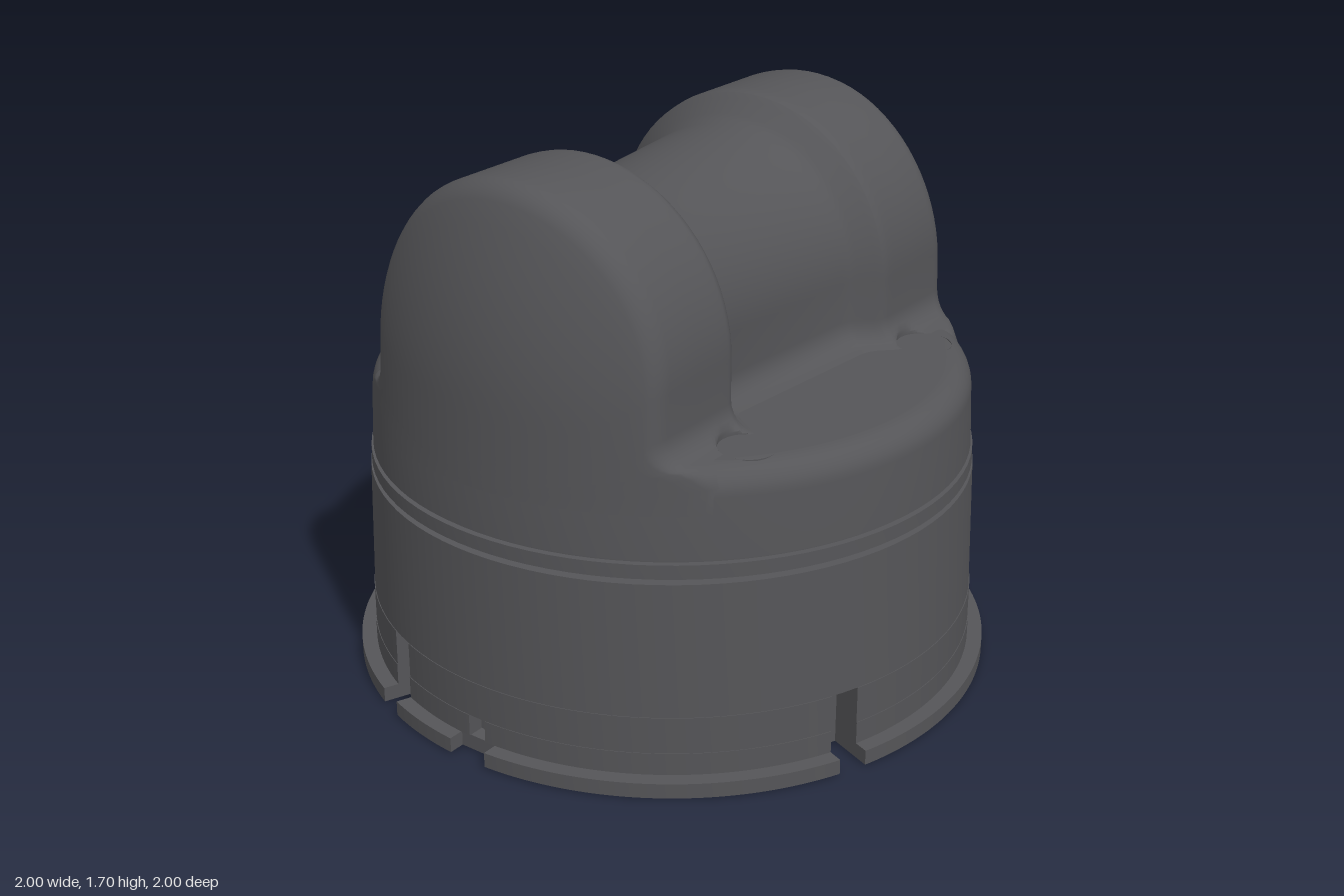
import * as THREE from 'three';
import { toCreasedNormals } from 'three/addons/utils/BufferGeometryUtils.js';

const material = new THREE.MeshStandardMaterial({ color: 0x555558, side: THREE.DoubleSide });
const rad = THREE.MathUtils.degToRad;
const SLOTS = [68, 158, 248, 338];
const SCREW = { x: 0.48, z: 0.615, r: 0.085 };
const SHELF = 0.98;

function add(group, name, geometry, crease = 0.6) {
  const mesh = new THREE.Mesh(toCreasedNormals(geometry, crease), material);
  mesh.name = name;
  group.add(mesh);
  return mesh;
}

// Outer radius of the domed cap at height y
const capRadius = y => 0.93 - 0.045 * (y - 0.72) - 0.33 * Math.max(0, y - 1.1) ** 2;

const lathe = points => new THREE.LatheGeometry(points.map(p => new THREE.Vector2(...p)), 96);

// Disc outline cut by straight notches { angle, half width, floor radius }
function notchedDisc(r, notches) {
  const shape = new THREE.Shape();
  const sorted = [...notches].sort((a, b) => a.angle - b.angle);
  sorted.forEach((n, i) => {
    const a = rad(n.angle);
    const next = sorted[(i + 1) % sorted.length];
    const end = rad(next.angle + (i + 1 === sorted.length ? 360 : 0));
    const at = (d, w) => [d * Math.cos(a) - w * Math.sin(a), d * Math.sin(a) + w * Math.cos(a)];
    const edge = Math.sqrt(r * r - n.half * n.half);
    if (i === 0) shape.moveTo(...at(edge, -n.half));
    else shape.lineTo(...at(edge, -n.half));
    shape.lineTo(...at(n.floor, -n.half));
    shape.lineTo(...at(n.floor, n.half));
    shape.lineTo(...at(edge, n.half));
    shape.absarc(0, 0, r, a + Math.asin(n.half / r), end - Math.asin(next.half / r), false);
  });
  return shape;
}

// Flat layer of a shape standing between two heights
function slab(shape, y0, y1) {
  return new THREE.ExtrudeGeometry(shape, { depth: y1 - y0, bevelEnabled: false, curveSegments: 32 })
    .rotateX(-Math.PI / 2).translate(0, y0, 0);
}

function disc(r, y0, y1, x, z) {
  return new THREE.CylinderGeometry(r, r, y1 - y0, 24).translate(x, (y0 + y1) / 2, z);
}

// Saddle-shaped housing: arched sections along x, ends trimmed to the domed cap
function housingGeometry() {
  const waist = [[-0.43, 0.51], [-0.41, 0.508], [-0.39, 0.495], [-0.335, 0.41], [-0.32, 0.392], [-0.3, 0.383],
    [0.29, 0.427], [0.32, 0.437], [0.34, 0.45], [0.38, 0.49], [0.4, 0.505], [0.43, 0.51]];
  const radiusAt = x => {
    if (Math.abs(x) >= 0.43) return 0.51;
    const i = waist.findIndex(w => w[0] > x);
    const [a, b] = [waist[i - 1], waist[i]];
    return THREE.MathUtils.mapLinear(x, a[0], b[0], a[1], b[1]);
  };
  // Half section from the buried foot, up the fillet and side, over the arch
  const half = r => {
    const pts = [[r + 0.15, 0.85], [r + 0.15, 0.93], [r + 0.11, 0.965]];
    for (let i = 0; i <= 6; i++) {
      const t = i / 6 * Math.PI / 2;
      pts.push([r + 0.08 - 0.08 * Math.sin(t), SHELF + 0.08 - 0.08 * Math.cos(t)]);
    }
    for (let i = 0; i <= 20; i++) {
      const t = i / 20 * Math.PI / 2;
      pts.push([r * Math.cos(t), 1.187 + r * Math.sin(t)]);
    }
    return pts;
  };
  const xs = waist.map(w => w[0]);
  for (let i = 0; i <= 12; i++) {
    const x = SCREW.x + SCREW.r * Math.cos(i / 12 * Math.PI);
    xs.push(x, -x);
  }
  xs.sort((a, b) => a - b);
  const caps = [];
  for (let i = 0; i <= 5; i++) {
    const t = i / 5 * Math.PI / 2;
    caps.push({ k: 1 - 0.06 * (1 - Math.cos(t)), inset: 0.05 * (1 - Math.sin(t)) });
  }
  for (let i = 1; i <= 14; i++) caps.push({ k: 0.94 * (1 - i / 14), inset: 0 });
  const stations = [
    ...caps.map(c => ({ ...c, side: -1 })).reverse(),
    ...xs.map(x => ({ x, k: 1 })),
    ...caps.map(c => ({ ...c, side: 1 }))];

  const positions = [], index = [];
  let n = 0;
  stations.forEach((s, i) => {
    const h = half(s.side ? 0.51 : radiusAt(s.x));
    const section = [...h.map(([z, y]) => [-z, y]), ...h.slice(0, -1).reverse()];
    n = section.length;
    section.forEach(([z0, y0], j) => {
      let z = z0 * s.k, x = s.x;
      const y = 0.85 + (y0 - 0.85) * s.k;
      if (s.side) {
        x = s.side * (Math.sqrt(capRadius(y) ** 2 - z * z) - s.inset);
      } else {
        // Clearance for the screw bores
        const dx = Math.abs(x) - SCREW.x;
        if (Math.abs(dx) < SCREW.r) {
          const limit = SCREW.z - Math.sqrt(SCREW.r ** 2 - dx * dx);
          z = THREE.MathUtils.clamp(z, -limit, limit);
        }
      }
      positions.push(x, y, z);
      if (i && j) {
        const d = i * n + j, c = d - 1, b = d - n, a = b - 1;
        index.push(a, b, c, b, d, c);
      }
    });
  });
  const g = new THREE.BufferGeometry();
  g.setAttribute('position', new THREE.Float32BufferAttribute(positions, 3));
  g.setIndex(index);
  return g;
}

// Screw head with a six-lobed recess
function screwHead() {
  const shape = new THREE.Shape().absarc(0, 0, 0.078, 0, Math.PI * 2);
  const star = [];
  for (let i = 0; i < 48; i++) {
    const a = i / 48 * Math.PI * 2, r = 0.036 + 0.008 * Math.cos(6 * a);
    star.push(new THREE.Vector2(r * Math.cos(a), r * Math.sin(a)));
  }
  shape.holes.push(new THREE.Path(star));
  return slab(shape, 0.94, 0.972);
}

export function createModel() {
  const model = new THREE.Group();
  model.name = 'housing';

  // Base: notched flange and slotted lower wall
  const slots = SLOTS.map(angle => ({ angle, half: 0.045, floor: 0.85 }));
  add(model, 'flange', slab(notchedDisc(1, [...slots, { angle: 180, half: 0.065, floor: 0.947 }]), 0.003, 0.05));
  add(model, 'slottedWallLower', slab(notchedDisc(0.953, [...slots, { angle: 180, half: 0.03, floor: 0.9 }]), 0.05, 0.12));
  add(model, 'slottedWallUpper', slab(notchedDisc(0.951, slots), 0.12, 0.235));
  add(model, 'baseWall', lathe([[0, 0.235], [0.949, 0.235], [0.938, 0.65], [0.85, 0.65]]));

  // Seam, spacer ring and groove under the cap
  add(model, 'neck', lathe([[0.85, 0.64], [0.85, 0.67]]));
  add(model, 'spacerRing', lathe([[0.85, 0.665], [0.935, 0.665], [0.934, 0.708], [0.915, 0.708], [0.915, 0.72]]));

  // Cap skirt with rounded rim
  const rim = [[0.9, 0.718], [0.928, 0.718]];
  for (let i = 0; i <= 8; i++) {
    const t = i / 8 * Math.PI / 2;
    rim.push([0.84 + 0.08 * Math.cos(t), 0.9 + 0.08 * Math.sin(t)]);
  }
  add(model, 'capSkirt', lathe(rim));

  // Shelf with four screw bores
  const shelf = new THREE.Shape().absarc(0, 0, 0.84, 0, Math.PI * 2);
  const corners = [[1, 1], [1, -1], [-1, 1], [-1, -1]].map(([a, b]) => [a * SCREW.x, b * SCREW.z]);
  corners.forEach(([x, z]) => shelf.holes.push(new THREE.Path().absarc(x, z, SCREW.r, 0, Math.PI * 2)));
  add(model, 'shelf', new THREE.ShapeGeometry(shelf, 48).rotateX(-Math.PI / 2).translate(0, SHELF, 0));

  add(model, 'saddleHousing', housingGeometry(), 0.7);

  corners.forEach(([x, z]) => {
    const screw = new THREE.Group();
    screw.name = 'screw';
    add(screw, 'bore', new THREE.CylinderGeometry(SCREW.r, SCREW.r, 0.05, 32, 1, true).translate(0, 0.955, 0));
    add(screw, 'boreFloor', new THREE.CircleGeometry(SCREW.r, 32).rotateX(-Math.PI / 2).translate(0, 0.94, 0));
    add(screw, 'head', screwHead());
    screw.position.set(x, 0, z);
    model.add(screw);
  });

  // Small pin on the rear rim
  const pin = add(model, 'rearPin', new THREE.CylinderGeometry(0.024, 0.024, 0.03, 16));
  pin.position.set(0, 0.95, -0.89);
  pin.rotation.x = -Math.PI / 4;

  // Underside fasteners and plugs
  SLOTS.forEach(angle => {
    const a = rad(angle), b = rad(angle + 38);
    add(model, 'undersideScrew', disc(0.03, 0, 0.02, 0.67 * Math.cos(a), -0.67 * Math.sin(a)));
    add(model, 'undersidePlug', disc(0.05, 0.001, 0.02, 0.79 * Math.cos(b), -0.79 * Math.sin(b)));
  });
  return model;
}
